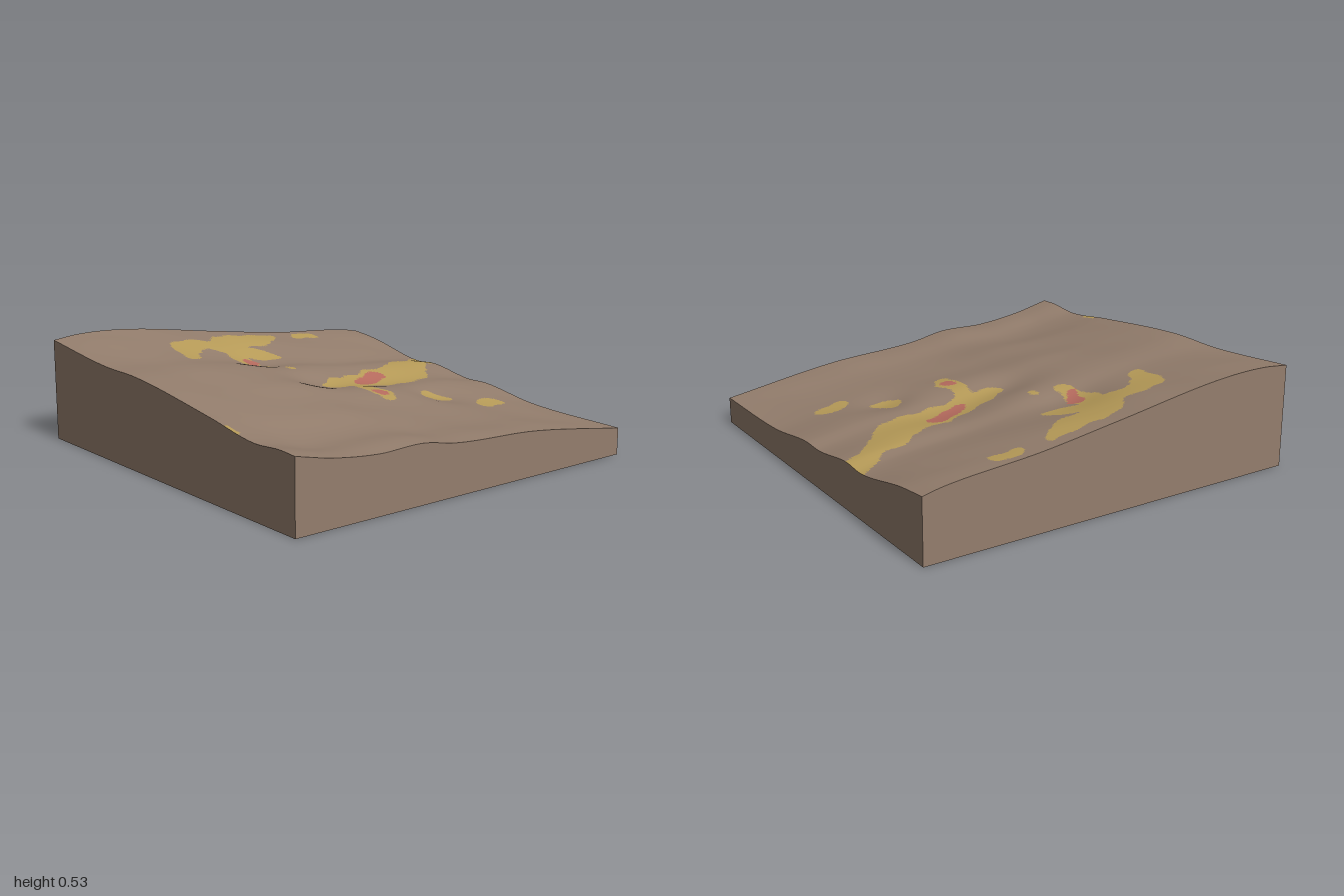
import * as THREE from 'three';

const N = 170; // ground grid cells per side

const paint = (name, color) => {
  const m = new THREE.MeshStandardMaterial({ color, side: THREE.DoubleSide });
  m.name = name;
  return m;
};

// Smooth curve through heights [position, y, position, y, ...]
function profile(pts) {
  const t = pts.filter((_, i) => i % 2 === 0), v = pts.filter((_, i) => i % 2 === 1);
  const curve = new THREE.CubicInterpolant(t, v, 1);
  return s => curve.evaluate(s)[0];
}

// Heights along the four rims
const front = profile([-1, .515, -.5, .466, -.2, .46, .4, .39, .72, .345, .9, .355, 1, .35]);
const back = profile([-1, .32, -.83, .3, -.46, .23, -.33, .237, -.05, .197, .08, .198, .42, .15, 1, .135]);
const left = profile([-1, .32, -.9, .34, -.4, .385, 0, .44, .6, .523, .85, .53, 1, .515]);
const right = profile([-1, .135, -.4, .22, .1, .25, .3, .283, .55, .28, .8, .307, 1, .35]);

// Hollows, each with x, z, depth and radius
const hollows = [
  [-.15, -.32, .035, .24], [.25, -.48, .025, .13], [-.48, .12, .03, .18],
  [-.04, .02, .025, .15], [.82, .75, .012, .16],
];

// Ground height: blend of the rims plus hollows and diagonal ripples
function height(x, z) {
  const u = (x + 1) / 2, v = (z + 1) / 2;
  let y = back(x) * (1 - v) + front(x) * v + left(z) * (1 - u) + right(z) * u;
  y -= (1 - v) * (.32 * (1 - u) + .135 * u) + v * (.515 * (1 - u) + .35 * u);
  const fade = Math.min(1, 5 * (1 - Math.abs(x))) * Math.min(1, 5 * (1 - Math.abs(z)));
  let d = .003 * Math.sin(9 * (x + z) + 2 * Math.sin(3 * (x - z)));
  for (const [hx, hz, depth, r] of hollows) d -= depth * Math.exp(-((x - hx) ** 2 + (z - hz) ** 2) / (r * r));
  return y + fade * d;
}

// Brush stroke on the ground through points [x, z, radius, ...]: tells whether it covers a spot
function stroke(...p) {
  return (x, z) => {
    for (let i = 0; i + 5 < p.length; i += 3) {
      const dx = p[i + 3] - p[i], dz = p[i + 4] - p[i + 1];
      const t = THREE.MathUtils.clamp(((x - p[i]) * dx + (z - p[i + 1]) * dz) / (dx * dx + dz * dz), 0, 1);
      const r = THREE.MathUtils.lerp(p[i + 2], p[i + 5], t);
      if (Math.hypot(x - p[i] - dx * t, z - p[i + 1] - dz * t) < r) return true;
    }
    return false;
  };
}

// Central streak and its arm
const streak = stroke(-.43, -1.02, .075, -.34, -.89, .055, -.26, -.74, .105, -.14, -.6, .125,
  -.13, -.45, .13, -.1, -.28, .1, -.07, -.14, .09, -.05, -.05, .055);
const streakArm = stroke(0, -.16, .045, .12, -.16, .045, .2, -.155, .057, .27, -.155, .04);

// Branching patch on the -x side
const branch = stroke(-.89, -.27, .04, -.83, -.14, .085, -.8, .06, .1, -.7, .15, .09,
  -.72, .3, .07, -.71, .4, .075, -.6, .46, .055, -.53, .465, .047);
const branchKnob = stroke(-.68, .1, .08, -.595, -.04, .065);
const branchArm = stroke(-.65, .14, .07, -.48, .16, .055, -.36, .15, .035);

const yellow = [
  streak, streakArm, branch, branchKnob, branchArm,
  stroke(-.91, -.57, .045, -.9, -.48, .042),
  stroke(.39, -.74, .05, .44, -.64, .045),
  stroke(.21, -.47, .05, .26, -.49, .055),
  stroke(-.32, .035, .02, -.29, .03, .02),
  stroke(.53, 1, .035, .57, 1, .03),
];
const red = [
  stroke(-.17, -.44, .055, -.14, -.35, .05, -.08, -.27, .035),
  stroke(.19, -.15, .035, .21, -.15, .035),
  stroke(-.515, .125, .04, -.435, .165, .03),
];

// Colour number of a spot, with slightly wavy patch edges
function colourAt(x, z) {
  const wx = x + .01 * Math.sin(38 * z + 5 * x), wz = z + .01 * Math.sin(34 * x - 7 * z);
  const covers = s => s(wx, wz);
  return red.some(covers) ? 2 : yellow.some(covers) ? 1 : 0;
}

function surface(positions, index) {
  const g = new THREE.BufferGeometry();
  g.setAttribute('position', new THREE.Float32BufferAttribute(positions, 3));
  g.setIndex(index);
  g.computeVertexNormals();
  return g;
}

// Ground sheet with its triangles sorted by colour
function groundGeometry() {
  const pos = [], lists = [[], [], []];
  for (let j = 0; j <= N; j++) for (let i = 0; i <= N; i++) {
    const x = -1 + 2 * i / N, z = -1 + 2 * j / N;
    pos.push(x, height(x, z), z);
  }
  const add = (...tri) => {
    const x = tri.reduce((s, k) => s + pos[3 * k], 0) / 3;
    const z = tri.reduce((s, k) => s + pos[3 * k + 2], 0) / 3;
    lists[colourAt(x, z)].push(...tri);
  };
  for (let j = 0; j < N; j++) for (let i = 0; i < N; i++) {
    const a = j * (N + 1) + i, b = a + 1, c = a + N + 1, d = c + 1;
    add(a, c, b);
    add(b, c, d);
  }
  const g = surface(pos, lists.flat());
  let start = 0;
  lists.forEach((l, m) => { g.addGroup(start, l.length, m); start += l.length; });
  return g;
}

// Upright wall from the base to the rim, between two corners
function wallGeometry(x0, z0, x1, z1) {
  const pos = [], index = [];
  for (let i = 0; i <= N; i++) {
    const x = x0 + (x1 - x0) * i / N, z = z0 + (z1 - z0) * i / N;
    pos.push(x, 0, z, x, height(x, z), z);
    if (i < N) index.push(2 * i, 2 * i + 2, 2 * i + 1, 2 * i + 1, 2 * i + 2, 2 * i + 3);
  }
  return surface(pos, index);
}

export function createModel() {
  const earth = paint('brown earth', 0x947e6d);
  const sand = paint('ochre patch', 0xb99d59);
  const clay = paint('red patch', 0xb86c5f);
  const model = new THREE.Group();
  model.name = 'terrainBlock';
  const add = (name, geometry, material) => {
    const mesh = new THREE.Mesh(geometry, material);
    mesh.name = name;
    model.add(mesh);
  };

  add('ground', groundGeometry(), [earth, sand, clay]);

  // Four walls, open underneath
  add('frontWall', wallGeometry(-1, 1, 1, 1), earth);
  add('leftWall', wallGeometry(1, 1, 1, -1), earth);
  add('backWall', wallGeometry(1, -1, -1, -1), earth);
  add('rightWall', wallGeometry(-1, -1, -1, 1), earth);
  return model;
}
